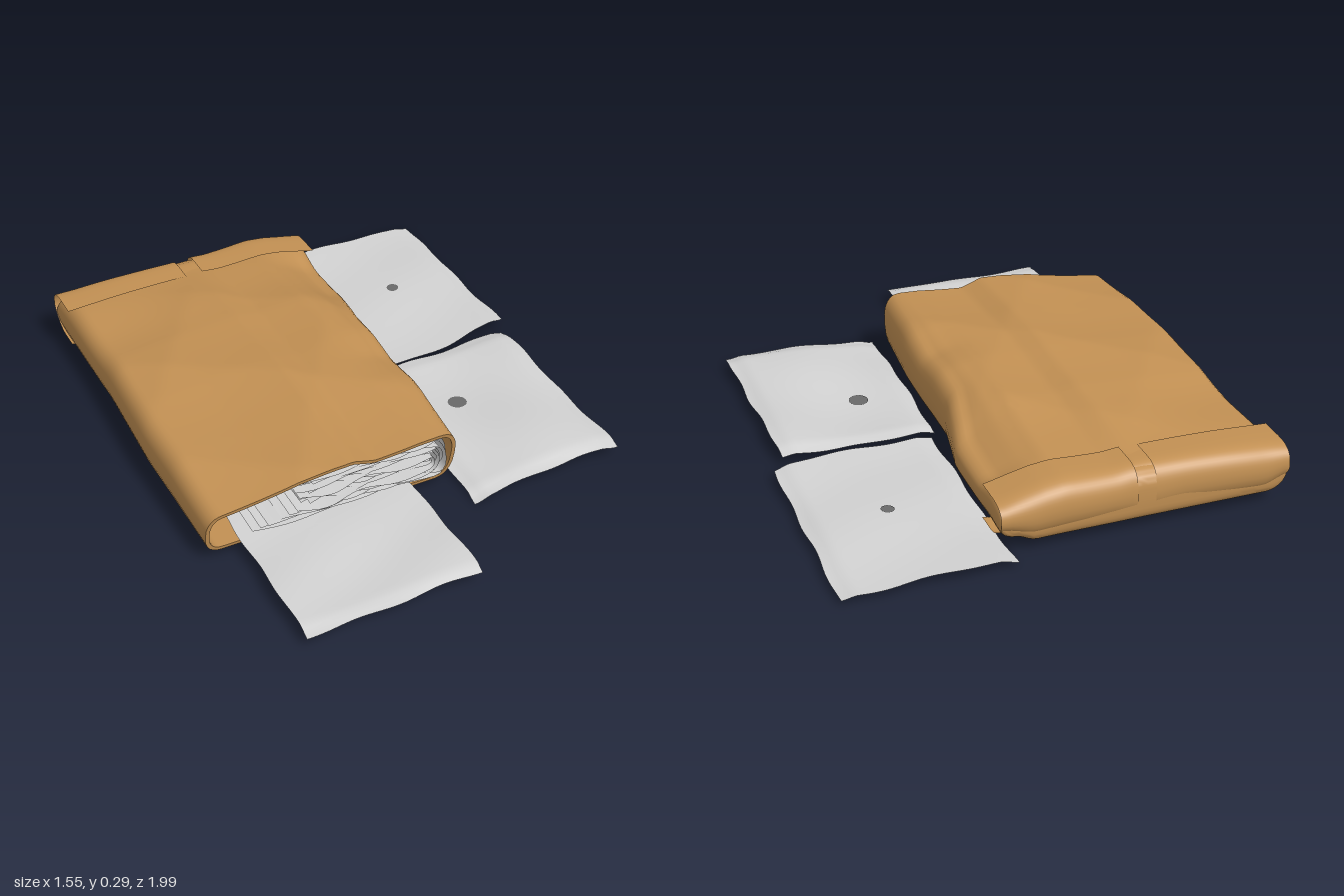
import * as THREE from 'three';
import { toCreasedNormals } from 'three/addons/utils/BufferGeometryUtils.js';

const { smoothstep, clamp } = THREE.MathUtils;
const mat = (name, color) => new THREE.MeshStandardMaterial({ name, color, side: THREE.DoubleSide });

// piecewise linear lookup through [key, value] pairs
function lerp(table, k) {
  if (k <= table[0][0]) return table[0][1];
  for (let i = 1; i < table.length; i++) {
    const [a, va] = table[i - 1], [b, vb] = table[i];
    if (k <= b) return va + (vb - va) * (k - a) / (b - a);
  }
  return table[table.length - 1][1];
}

// surface from a rule: f(u, v) -> [x, y, z], both 0..1
function surface(nu, nv, f) {
  const pos = [], idx = [];
  for (let j = 0; j <= nv; j++) for (let i = 0; i <= nu; i++) pos.push(...f(i / nu, j / nv));
  for (let j = 0; j < nv; j++) for (let i = 0; i < nu; i++) {
    const a = j * (nu + 1) + i, b = a + nu + 1;
    idx.push(a, a + 1, b, b, a + 1, b + 1);
  }
  const g = new THREE.BufferGeometry();
  g.setAttribute('position', new THREE.Float32BufferAttribute(pos, 3));
  g.setIndex(idx);
  g.computeVertexNormals();
  return g;
}

// envelope outline: side edges, height along the length and across the width
const LEFT = [[-0.94, -0.77], [-0.4, -0.765], [0, -0.78], [0.51, -0.77]];
const RIGHT = [[-0.94, 0.23], [-0.75, 0.22], [-0.48, 0.22], [-0.38, 0.2], [-0.25, 0.175], [0.2, 0.17], [0.51, 0.145]];
const HEIGHT = [[-0.94, 0.215], [-0.8, 0.225], [-0.6, 0.25], [-0.4, 0.275], [-0.1, 0.283], [0.2, 0.275], [0.51, 0.258]];
const ACROSS = [[-0.78, -0.055], [-0.5, -0.03], [-0.25, 0], [-0.17, -0.022], [0, -0.006], [0.08, -0.006], [0.22, -0.05]];

// creases that fade out toward the folded end, and a dent by the right edge
function creases(x, z) {
  const a = Math.abs(Math.sin(5 * x + 3.2 * z + 0.6)) + Math.abs(Math.sin(4 * x - 5.5 * z + 1));
  const dent = Math.max(0, 1 - Math.abs(z - 0.03) / 0.16) * smoothstep(x, -0.06, 0.14);
  return 0.011 * (1.2 - a) * smoothstep(z, -0.85, -0.5) - 0.022 * dent;
}
function topY(x, z) {
  const flat = smoothstep(z, -0.85, -0.4);
  const slope = 0.4 * Math.max(0, x - 0.01) * (1 - smoothstep(z, -0.5, 0)) * (0.3 + 0.7 * smoothstep(z, -0.83, -0.68));
  return lerp(HEIGHT, z) + lerp(ACROSS, x) * (0.3 + 0.7 * flat) + creases(x, z) - slope;
}
const bottomY = x => 0.028 + 0.03 * smoothstep(x, 0.1, 0.18);

// one point around the envelope: top, right edge, bottom, left edge
function ringPoint(u, z, inset) {
  const round = Math.pow(Math.max(0, 1 - Math.pow(Math.max(0, (-z - 0.8) / 0.13), 4)), 0.25);
  const r = 0.06 - inset;
  const xl = lerp(LEFT, z) + inset + r, xr = lerp(RIGHT, z) - inset - r;
  let x, s;
  if (u < 0.4) { x = xl + (xr - xl) * u / 0.4; s = 1; }
  else if (u < 0.5) { const t = (u - 0.4) * 10 * Math.PI; x = xr + r * Math.sin(t); s = Math.cos(t); }
  else if (u < 0.9) { x = xr + (xl - xr) * (u - 0.5) / 0.4; s = -1; }
  else { const t = (u - 0.9) * 10 * Math.PI; x = xl - r * Math.sin(t); s = -Math.cos(t); }
  s = Math.sign(s) * Math.pow(Math.abs(s), 0.75);
  const xc = clamp(x, xl, xr);
  const hi = topY(xc, z) - inset, lo = bottomY(xc) + inset;
  const y = (hi + lo) / 2 + s * round * (hi - lo) / 2;
  // the mouth leans forward at the top
  return [x, y, z + 0.2 * (y - 0.15) * smoothstep(z, 0.2, 0.5)];
}

// loose sheet, front to back: corners are back left, back right, front left, front right
function sheetPoint(c, height, u, v) {
  const mix = k => (c[0][k] * (1 - u) + c[1][k] * u) * v + (c[2][k] * (1 - u) + c[3][k] * u) * (1 - v);
  const x = mix(0) + 0.004 * Math.sin(17 * v), z = mix(1) + 0.005 * Math.sin(13 * u + 1);
  return [x, height(x, z), z];
}

export function createModel() {
  const group = new THREE.Group();
  const brown = mat('kraft brown', 0xc29053);
  const paper = mat('paper grey', 0xd2d2d2);
  const dark = mat('dark spot', 0x6a6a6a);
  const add = (name, geo, material) => {
    const m = new THREE.Mesh(geo, material);
    m.name = name;
    group.add(m);
  };

  // envelope shell: inside wall, front rim, then outside to the closed back
  const body = surface(120, 80, (u, v) => {
    const j = Math.round(v * 80);
    if (j < 16) return ringPoint(u, -0.75 + 1.26 * j / 15, 0.014);
    const t = (j - 16) / 64;
    return ringPoint(u, t < 0.75 ? 0.51 - 1.31 * t / 0.75 : -0.8 - 0.13 * Math.sin((t - 0.75) * 2 * Math.PI), 0);
  });
  add('envelope', toCreasedNormals(body, 0.6), brown);

  // folded flap wrapped over the back end, in two halves with a pinch between
  const flap = (x0, x1, lift, depth) => surface(24, 36, (u, v) => {
    const x = x0 + (x1 - x0) * u;
    const ends = smoothstep(x, 0.1, 0.235) + 1 - smoothstep(x, -0.78, -0.68);
    const sag = Math.max(0, 1 - Math.abs(x + 0.28) / 0.12);
    const hi = topY(x, -0.8) + lift + 0.004 * Math.sin(9 * x);
    const lo = 0.023 + 0.045 * ends - 0.02 * sag;
    const mid = (hi + lo) / 2, half = (hi - lo) / 2;
    if (v < 0.15) return [x, hi, -0.77 - 0.06 * v / 0.15];
    if (v > 0.85) return [x, lo, -0.77 - 0.06 * (1 - v) / 0.15];
    const a = (v - 0.15) / 0.7 * Math.PI, c = Math.cos(a);
    const push = depth + 0.006 * Math.sin(8 * x + 1) - 0.05 * Math.max(0, -c);
    return [x, mid + half * Math.sign(c) * Math.pow(Math.abs(c), 0.7), -0.83 - push * Math.pow(Math.sin(a), 0.6)];
  });
  add('flapRightHalf', flap(-0.772, -0.3, 0.008, 0.108), brown);
  add('flapLeftHalf', flap(-0.235, 0.232, 0.012, 0.108), brown);
  add('flapPinch', flap(-0.31, -0.225, 0.002, 0.085), brown);

  // bundle of folded papers inside the envelope
  for (let i = 0; i < 9; i++) {
    const k = i / 8, front = 0.5 + 0.035 * Math.max(0, Math.sin(i * 2.3)) * k;
    const yTop = 0.205 - 0.06 * k, yLow = 0.065 + 0.06 * k;
    const xFold = 0.085 - 0.07 * k, r = (yTop - yLow) / 2;
    const xTop = -0.42 + 0.03 * Math.sin(i * 1.7), xLow = -0.4 - 0.2 * (1 - k);
    add('foldedPaper' + (i + 1), surface(44, 8, (u, v) => {
      const z = front - 1.12 * v + 0.012 * Math.sin(u * 23 + i * 2);
      const wave = 0.005 * Math.sin(u * 31 + i * 1.3 + v * 4);
      if (u < 0.42) return [xTop + (xFold - xTop) * u / 0.42, yTop + wave, z];
      if (u > 0.58) return [xFold + (xLow - xFold) * (u - 0.58) / 0.42, yLow + wave, z];
      const a = (u - 0.42) / 0.16 * Math.PI;
      return [xFold + 0.035 * Math.sin(a), (yTop + yLow) / 2 + r * Math.cos(a) + wave, z];
    }), paper);
  }

  // loose sheets, their edges drooping a little
  const droop = (t, lo, hi) => 0.012 * (1 - smoothstep(Math.min(t - lo, hi - t), 0, 0.06));
  const heightA = (x, z) => 0.053 + 0.005 * Math.sin(9 * x + 2) * Math.cos(7 * z) + 0.003 * Math.sin(17 * z + 8 * x)
    - droop(z, 0.1, 0.99);
  const heightB = (x, z) => 0.036 + 0.03 * (x - 0.15) * (1 + 0.5 * z) + 0.007 * Math.sin(11 * x + 5 * z)
    + 0.006 * Math.sin(10 * z - 6 * x) - droop(x, 0.16, 0.73) - droop(z, -0.15, 0.63);
  const heightC = (x, z) => 0.03 + 0.02 * (x - 0.19) + 0.006 * Math.sin(10 * x - 4 * z)
    + 0.004 * Math.sin(12 * z + 5 * x) - droop(x, 0.19, 0.77);
  const sheet = (name, c, h, bend) => add(name, surface(36, 40, (u, v) => {
    const p = sheetPoint(c, h, u, v);
    p[2] += bend * Math.sin(Math.PI * u) * (1 - v);
    return p;
  }), paper);
  sheet('frontSheet', [[-0.645, 0.2], [-0.01, 0.2], [-0.645, 0.99], [-0.015, 0.975]], heightA, 0);
  sheet('leftFrontSheet', [[0.175, -0.14], [0.725, -0.15], [0.155, 0.635], [0.735, 0.625]], heightB, 0);
  sheet('leftBackSheet', [[0.19, -0.985], [0.77, -0.995], [0.19, -0.165], [0.77, -0.225]], heightC, 0.03);

  // round spots lying on two of the sheets
  const spot = (name, x, z, r, h) => {
    const g = new THREE.CircleGeometry(r, 14).rotateX(-Math.PI / 2).translate(x, 0, z);
    const p = g.attributes.position;
    for (let i = 0; i < p.count; i++) p.setY(i, h(p.getX(i), p.getZ(i)) + 0.003);
    add(name, g, dark);
  };
  spot('frontSpot', 0.36, 0.155, 0.035, heightB);
  spot('backSpot', 0.49, -0.59, 0.023, heightC);

  return group;
}
